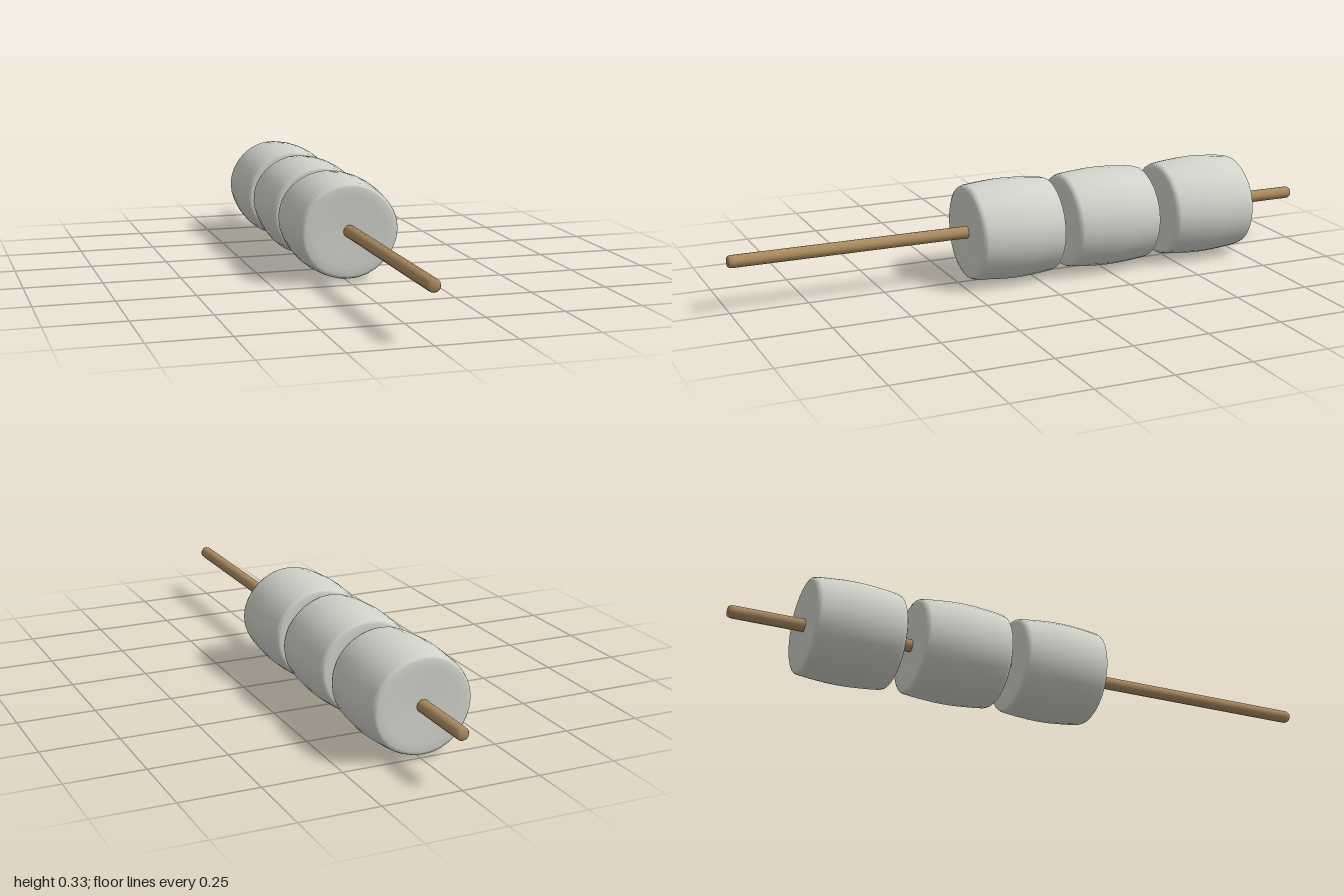
import * as THREE from 'three';

const CENTER_Y = 0.166;

export function createModel() {
  const group = new THREE.Group();
  const white = new THREE.MeshStandardMaterial({ color: 0xd2d3cb });
  white.name = 'marshmallowWhite';
  const wood = new THREE.MeshStandardMaterial({ color: 0xac8b60 });
  wood.name = 'stickWood';

  // long wooden stick with slightly rounded ends
  const stickProfile = [[0, -1], [0.015, -1], [0.02, -0.992], [0.0205, -0.98],
    [0.0205, 0.98], [0.02, 0.992], [0.015, 1], [0, 1]];
  const stickGeo = new THREE.LatheGeometry(stickProfile.map(p => new THREE.Vector2(...p)), 12);
  stickGeo.rotateX(Math.PI / 2);
  const stick = new THREE.Mesh(stickGeo, wood);
  stick.name = 'stick';
  stick.position.y = CENTER_Y + 0.001;
  group.add(stick);

  // soft, slightly bulging marshmallow; profile is [radius, share of half length]
  const softProfile = [[0, -0.97], [0.05, -0.98], [0.12, -1], [0.146, -1], [0.155, -0.97], [0.159, -0.9],
    [0.164, -0.6], [0.168, -0.25], [0.169, 0], [0.168, 0.25], [0.164, 0.6],
    [0.159, 0.9], [0.155, 0.97], [0.146, 1], [0.12, 1], [0.05, 0.98], [0, 0.97]];

  function marshmallow(name, zBack, zFront, turn) {
    const half = (zFront - zBack) / 2;
    const geo = new THREE.LatheGeometry(softProfile.map(([r, t]) => new THREE.Vector2(r, t * half)), 32);
    geo.rotateX(Math.PI / 2);
    // gentle squashed unevenness around the side, wider than tall
    const pos = geo.attributes.position;
    for (let i = 0; i < pos.count; i++) {
      const x = pos.getX(i), y = pos.getY(i), z = pos.getZ(i);
      const a = Math.atan2(y, x);
      const k = 1 + 0.007 * Math.sin(3 * a + turn + z * 8) + 0.005 * Math.cos(5 * a - turn);
      pos.setXY(i, x * k * 1.015, y * k * 0.97);
    }
    // analytic lathe normals stay seamless and are close to the softened shape
    const mesh = new THREE.Mesh(geo, white);
    mesh.name = name;
    mesh.position.set(0, CENTER_Y, (zFront + zBack) / 2);
    group.add(mesh);
  }

  marshmallow('frontMarshmallow', -0.068, 0.22, 0.4);
  marshmallow('middleMarshmallow', -0.41, -0.115, 1.5);
  marshmallow('backMarshmallow', -0.763, -0.47, 2.6);

  return group;
}
